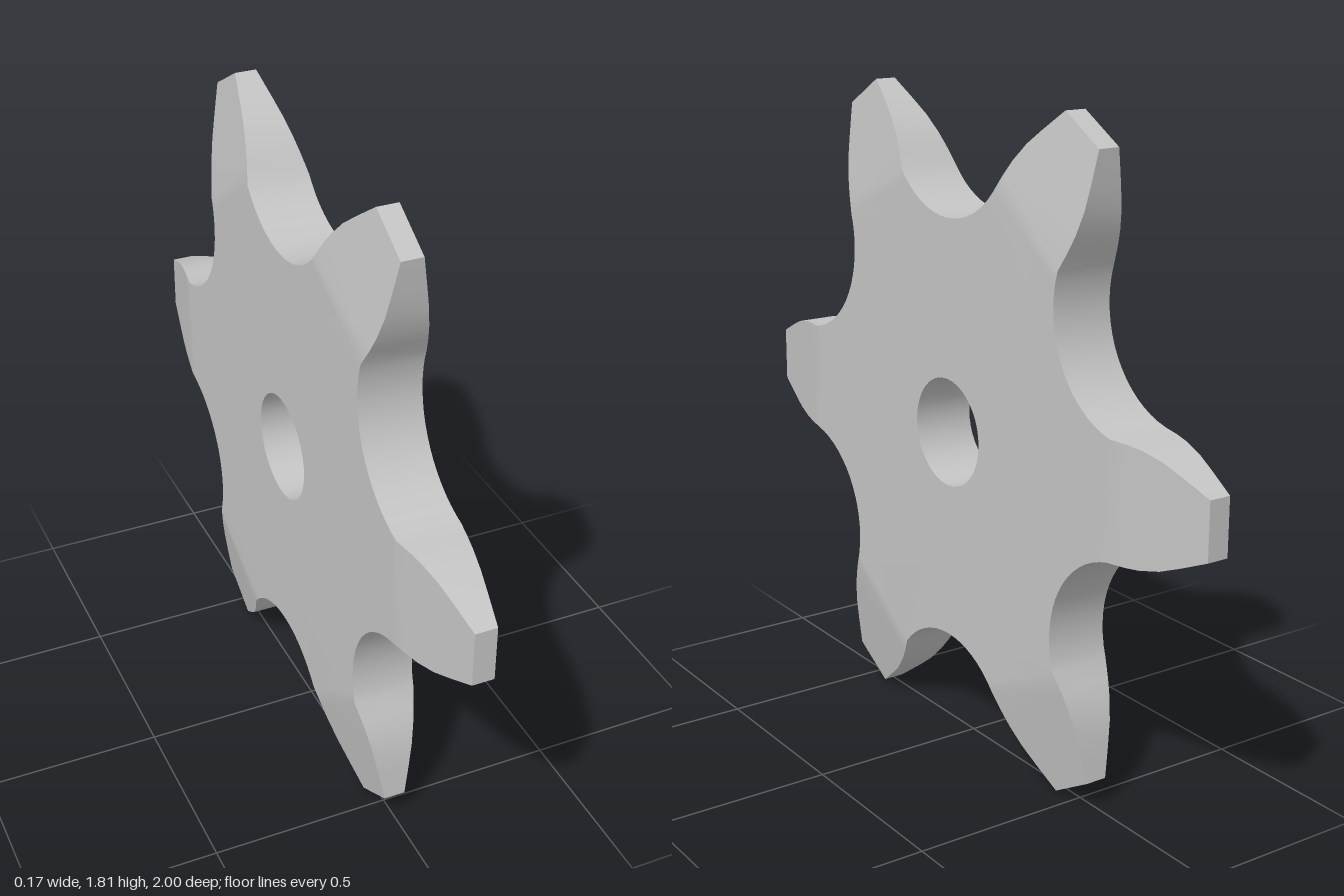
import * as THREE from 'three';
import { toCreasedNormals } from 'three/addons/utils/BufferGeometryUtils.js';

const TEETH = 6, HALF = 0.0875, TIP_HALF = 0.03, TAPER = 0.7, CENTRE_Y = 0.9035;
const ROOT_DIST = 0.87, ROOT_RADIUS = 0.283, BORE = 0.15;

// Point of the wheel plane (x holds world y, y holds world z), turned by angle a
const turned = (u, v, a, half = HALF) => {
  const p = new THREE.Vector2(u * Math.cos(a) - v * Math.sin(a), u * Math.sin(a) + v * Math.cos(a));
  p.half = half;
  return p;
};

export function createModel() {
  const steel = new THREE.MeshStandardMaterial({ color: 0xc4c4c4 });
  steel.name = 'steel grey';

  // One flank of a tooth: distance from the axle, half width
  const flank = [[TAPER, 0.157], [0.755, 0.155], [0.8, 0.15], [0.86, 0.136], [0.92, 0.112], [1, 0.077]];
  const profile = [...flank.map(([u, v]) => [u, -v]), ...flank.slice().reverse()];

  const outline = [], core = [], teeth = [];
  for (let k = 0; k < TEETH; k++) {
    const a = Math.PI / 2 + k * Math.PI * 2 / TEETH;
    const tooth = profile.map(([u, v]) =>
      turned(u, v, a, THREE.MathUtils.mapLinear(u, TAPER, 1, HALF, TIP_HALF)));
    // Rounded root between this tooth and the next
    const root = [], steps = 16, sweep = THREE.MathUtils.degToRad(49.1);
    for (let i = 1; i < steps; i++) {
      const t = Math.PI + sweep * (1 - 2 * i / steps);
      root.push(turned(ROOT_DIST + ROOT_RADIUS * Math.cos(t), ROOT_RADIUS * Math.sin(t), a + Math.PI / TEETH));
    }
    teeth.push(tooth);
    outline.push(...tooth, ...root);
    core.push(tooth[0], tooth[tooth.length - 1], ...root);
  }
  const bore = [];
  for (let i = 0; i < 40; i++) bore.push(turned(BORE, 0, -i * Math.PI / 20));

  const positions = [];
  const put = (p, side) => positions.push(side * p.half, p.x, p.y);

  // Both faces of a flat region
  const addFaces = (contour, holes) => {
    const pts = [...contour, ...holes.flat()];
    for (const [a, b, c] of THREE.ShapeUtils.triangulateShape(contour, holes)) {
      [a, b, c].forEach((i) => put(pts[i], 1));
      [a, c, b].forEach((i) => put(pts[i], -1));
    }
  };
  // Wall across the thickness along a closed loop
  const addWall = (loop) => loop.forEach((p, i) => {
    const q = loop[(i + 1) % loop.length];
    put(p, -1); put(q, -1); put(q, 1);
    put(p, -1); put(q, 1); put(p, 1);
  });

  addFaces(core, [bore]);
  teeth.forEach((tooth) => addFaces(tooth, []));
  addWall(outline);
  addWall(bore);

  const geometry = new THREE.BufferGeometry();
  geometry.setAttribute('position', new THREE.Float32BufferAttribute(positions, 3));
  const wheel = new THREE.Mesh(toCreasedNormals(geometry, 0.55), steel);
  wheel.name = 'sprocketWheel';
  wheel.position.y = CENTRE_Y;

  const group = new THREE.Group();
  group.name = 'sprocket';
  group.add(wheel);
  return group;
}
